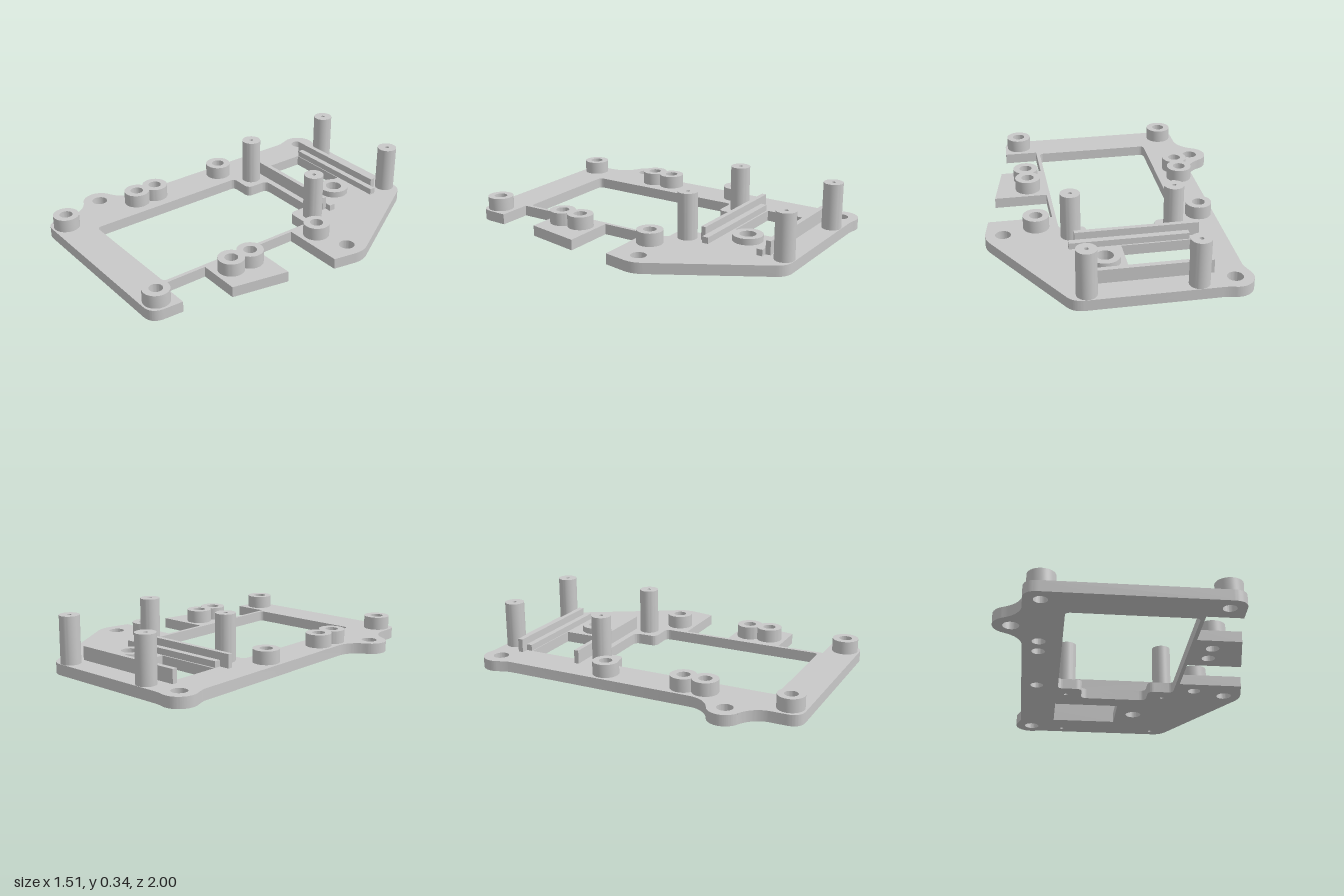
import * as THREE from 'three';
import { toCreasedNormals } from 'three/addons/utils/BufferGeometryUtils.js';

const PLATE = 0.063;
const RAD = Math.PI / 180;

// Traces [x, z, cornerRadius] points into a path (path y = -z)
function trace(path, pts, closed) {
  const n = pts.length;
  pts.forEach(([x, z, r = 0], i) => {
    const c = new THREE.Vector2(x, -z);
    if (!r) {
      if (i === 0) path.moveTo(c.x, c.y);
      else path.lineTo(c.x, c.y);
      return;
    }
    const toward = (q) => new THREE.Vector2(q[0], -q[1]).sub(c).setLength(r).add(c);
    const a = toward(pts[(i + n - 1) % n]);
    const b = toward(pts[(i + 1) % n]);
    if (i === 0) path.moveTo(a.x, a.y);
    else path.lineTo(a.x, a.y);
    path.quadraticCurveTo(c.x, c.y, b.x, b.y);
  });
  if (closed) path.closePath();
  return path;
}

const circle = (path, x, z, r) => path.absarc(x, -z, r, 0, Math.PI * 2, false);

export function createModel() {
  const group = new THREE.Group();
  const grey = new THREE.MeshStandardMaterial({ color: 0xc8c8c8 });
  grey.name = 'grey plastic';

  const add = (name, geometry) => {
    const mesh = new THREE.Mesh(geometry, grey);
    mesh.name = name;
    group.add(mesh);
    return mesh;
  };
  // Extrudes a plan shape upwards from y0 to y1
  const raise = (name, shape, y0, y1) => {
    const geo = new THREE.ExtrudeGeometry(shape, { depth: y1 - y0, bevelEnabled: false, curveSegments: 20 });
    geo.rotateX(-Math.PI / 2).translate(0, y0, 0);
    return add(name, toCreasedNormals(geo, 0.6));
  };

  const postSpots = [[-0.324, -0.929], [0.274, -0.929], [-0.324, -0.324], [0.274, -0.324]];
  const bossX = [-0.507, 0.457];
  const bossZ = [-0.193, 0.294, 0.424, 0.911];
  const hub = [0.127, -0.628];

  // Base plate outline, clockwise seen from above
  const plate = trace(new THREE.Shape(), [
    [-0.44, -0.988], [0.352, -0.988, 0.06], [0.763, -0.283, 0.06], [0.728, -0.092],
    [0.352, -0.092], [0.352, 0.193], [0.668, 0.193], [0.603, 0.526], [0.352, 0.526],
    [0.352, 0.808], [0.552, 0.808], [0.543, 0.999, 0.08], [-0.6, 0.999, 0.08], [-0.6, 0.824],
  ]);
  // Side ear and back corner ear
  plate.quadraticCurveTo(-0.61, -0.734, -0.701, -0.692);
  plate.absarc(-0.66, -0.604, 0.097, 245 * RAD, 115 * RAD, true);
  plate.quadraticCurveTo(-0.61, -0.474, -0.6, -0.384);
  plate.lineTo(-0.6, 0.79);
  plate.quadraticCurveTo(-0.606, 0.82, -0.624, 0.866);
  plate.absarc(-0.53, 0.9, 0.1, 200 * RAD, 75 * RAD, true);
  plate.quadraticCurveTo(-0.47, 0.988, -0.44, 0.988);

  // Large stepped opening and small rectangular opening, counter-clockwise
  plate.holes.push(
    trace(new THREE.Path(), [
      [-0.378, 0.783, 0.03], [0.33, 0.783, 0.03], [0.33, -0.229, 0.03], [0.177, -0.229, 0.04],
      [0.177, -0.373, 0.04], [-0.23, -0.373, 0.04], [-0.23, -0.229, 0.04], [-0.378, -0.229, 0.03],
    ], true),
    trace(new THREE.Path(), [[-0.385, -0.486], [0.01, -0.486], [0.01, -0.773], [-0.385, -0.773]], true),
  );

  // Through holes
  const drill = (shape, x, z, r) => shape.holes.push(circle(new THREE.Path(), x, z, r));
  for (const [x, z] of [[-0.528, -0.898], [0.653, -0.253], [-0.657, 0.604]]) drill(plate, x, z, 0.045);
  for (const x of bossX) for (const z of bossZ) drill(plate, x, z, 0.038);
  for (const [x, z] of postSpots) drill(plate, x, z, 0.012);
  drill(plate, ...hub, 0.048);
  raise('basePlate', plate, 0, PLATE);

  // Hollow round standoffs
  const ring = (name, x, z, r, hole, top) => {
    const shape = circle(new THREE.Shape(), x, z, r);
    drill(shape, x, z, hole);
    raise(name, shape, PLATE, top);
  };
  for (const [x, z] of postSpots) ring('tallPost', x, z, 0.057, 0.012, 0.335);
  ring('hubRing', ...hub, 0.088, 0.048, 0.1);

  for (const x of bossX) {
    ring('boss', x, bossZ[0], 0.076, 0.038, 0.14);
    ring('boss', x, bossZ[3], 0.076, 0.038, 0.14);
    // Two merged bosses with a waist between them
    const [z1, z2] = [bossZ[1], bossZ[2]];
    const a = Math.acos((z2 - z1) / 2 / 0.076);
    const pair = new THREE.Shape();
    pair.absarc(x, -z1, 0.076, -Math.PI / 2 + a, Math.PI * 1.5 - a, false);
    pair.absarc(x, -z2, 0.076, Math.PI / 2 + a, Math.PI * 2.5 - a, false);
    drill(pair, x, z1, 0.038);
    drill(pair, x, z2, 0.038);
    raise('doubleBoss', pair, PLATE, 0.14);
  }

  // Stepped rails either side of the small opening
  const rail = (name, x0, x1, z0, z1, top) =>
    add(name, new THREE.BoxGeometry(x1 - x0, top - PLATE, z1 - z0))
      .position.set((x0 + x1) / 2, (top + PLATE) / 2, (z0 + z1) / 2);
  rail('backRail', -0.428, 0.268, -0.843, -0.813, 0.143);
  rail('backLedge', -0.385, 0.305, -0.813, -0.778, 0.1);
  rail('frontRail', -0.448, 0.268, -0.438, -0.41, 0.143);
  rail('frontLedge', -0.385, 0.305, -0.476, -0.438, 0.1);

  return group;
}
